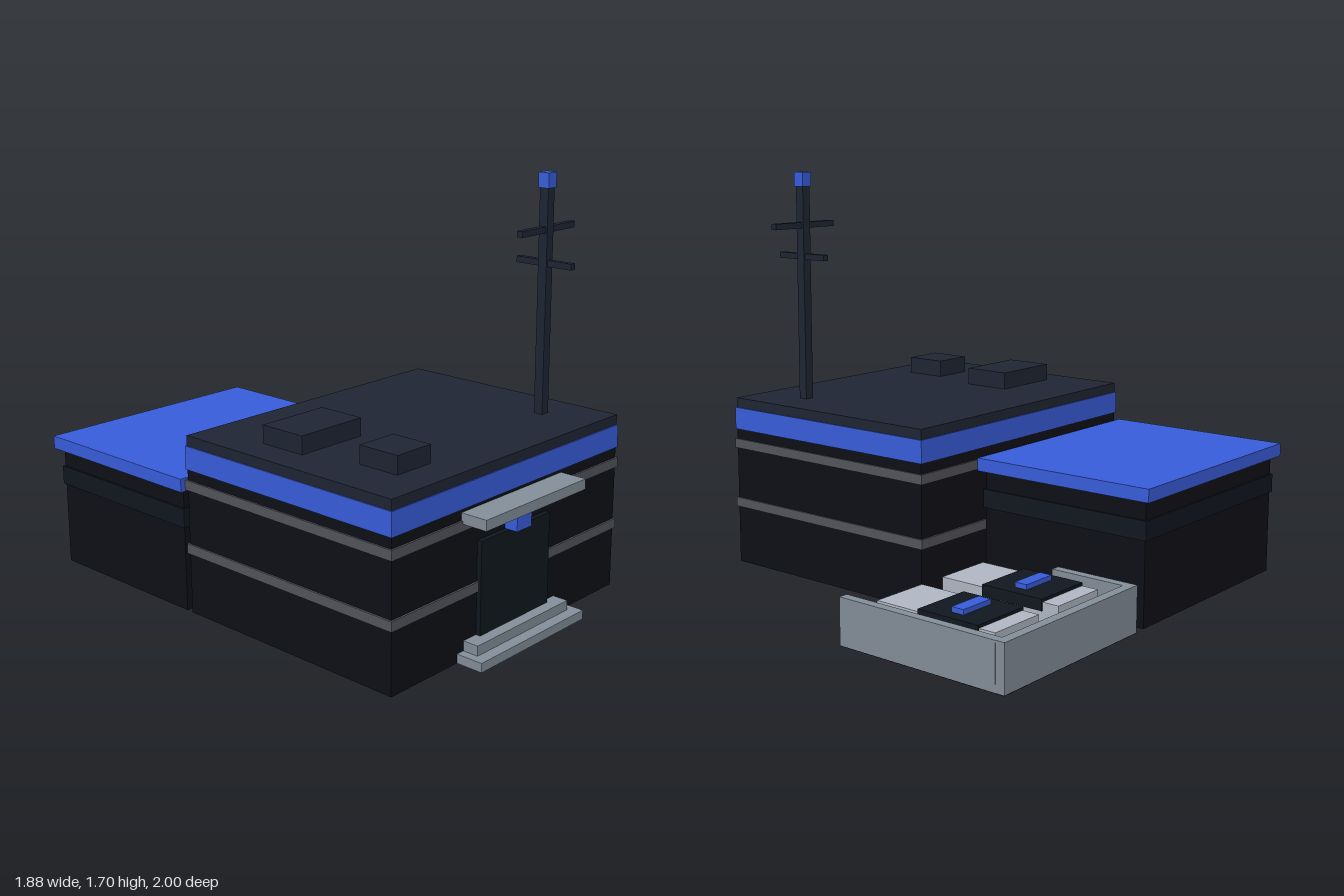
import * as THREE from 'three';

const material = (color) => new THREE.MeshStandardMaterial({ color });

export function createModel() {
  const model = new THREE.Group();
  model.name = 'stationBuilding';

  const wall = material(0x0f1017);
  const trim = material(0x55565d);
  const roof = material(0x1f2634);
  const glass = material(0x111820);
  const blue = material(0x3a5fdf);
  const stone = material(0x86919c);
  const pale = material(0xb4bbc7);

  // Box from its lower and upper limits on each axis
  function box(parent, name, mat, [x0, x1], [y0, y1], [z0, z1]) {
    const mesh = new THREE.Mesh(new THREE.BoxGeometry(x1 - x0, y1 - y0, z1 - z0), mat);
    mesh.position.set((x0 + x1) / 2, (y0 + y1) / 2, (z0 + z1) / 2);
    mesh.name = name;
    parent.add(mesh);
    return mesh;
  }

  function group(name) {
    const g = new THREE.Group();
    g.name = name;
    model.add(g);
    return g;
  }

  // Main block with trim courses, fascia and flat roof
  const main = group('mainBlock');
  box(main, 'mainWalls', wall, [-0.912, 0.435], [0, 0.6], [-0.172, 0.885]);
  for (const y of [0.25, 0.512]) {
    box(main, 'trimCourse', trim, [-0.92, 0.442], [y, y + 0.04], [-0.18, 0.893]);
  }
  box(main, 'blueFascia', blue, [-0.917, 0.44], [0.595, 0.69], [-0.177, 0.89]);
  box(main, 'mainRoof', roof, [-0.912, 0.435], [0.69, 0.732], [-0.172, 0.885]);
  box(main, 'largeRoofUnit', roof, [-0.782, -0.465], [0.732, 0.805], [0.117, 0.325]);
  box(main, 'smallRoofUnit', roof, [-0.715, -0.535], [0.732, 0.805], [0.552, 0.735]);

  // Entrance
  const entrance = group('entrance');
  box(entrance, 'door', glass, [-0.445, -0.03], [0.01, 0.45], [0.85, 0.905]);
  box(entrance, 'canopy', stone, [-0.54, 0.063], [0.54, 0.582], [0.86, 1]);
  box(entrance, 'entranceLamp', blue, [-0.284, -0.196], [0.45, 0.54], [0.88, 0.942]);
  box(entrance, 'lowerStep', stone, [-0.553, 0.077], [0, 0.037], [0.87, 1]);
  box(entrance, 'upperStep', stone, [-0.517, 0.037], [0.037, 0.077], [0.87, 0.952]);

  // Rear annex
  const annex = group('annex');
  box(annex, 'annexWalls', wall, [-0.912, 0.065], [0, 0.506], [-0.97, -0.202]);
  box(annex, 'annexWindowBand', glass, [-0.92, 0.073], [0.35, 0.428], [-0.978, -0.194]);
  box(annex, 'annexRoof', blue, [-0.942, 0.095], [0.506, 0.56], [-1, -0.18]);

  // Antenna mast with crossed arms and beacon
  const mast = group('antennaMast');
  box(mast, 'mastPole', roof, [0.23, 0.27], [0.73, 1.64], [0.625, 0.665]);
  box(mast, 'upperArm', roof, [0.08, 0.422], [1.465, 1.49], [0.632, 0.658]);
  box(mast, 'lowerArm', roof, [0.237, 0.263], [1.332, 1.357], [0.515, 0.778]);
  box(mast, 'beacon', blue, [0.225, 0.275], [1.64, 1.7], [0.62, 0.67]);

  // Walled parking yard
  const yard = group('parkingYard');
  box(yard, 'yardFloor', wall, [0.12, 0.934], [0, 0.016], [-0.974, -0.208]);
  box(yard, 'backWall', stone, [0.12, 0.935], [0.003, 0.19], [-0.975, -0.935]);
  box(yard, 'outerWall', stone, [0.897, 0.936], [0.003, 0.19], [-0.936, -0.207]);
  box(yard, 'innerWall', stone, [0.12, 0.16], [0.003, 0.19], [-0.936, -0.607]);

  // Two parked vehicles
  for (const x of [0.37, 0.74]) {
    const vehicle = group('parkedVehicle');
    box(vehicle, 'vehicleBody', pale, [x - 0.125, x + 0.125], [0.016, 0.184], [-0.88, -0.33]);
    box(vehicle, 'vehicleCabin', glass, [x - 0.13, x + 0.13], [0.15, 0.196], [-0.808, -0.53]);
    box(vehicle, 'lightBar', blue, [x - 0.078, x + 0.078], [0.196, 0.216], [-0.7, -0.645]);
  }

  return model;
}
